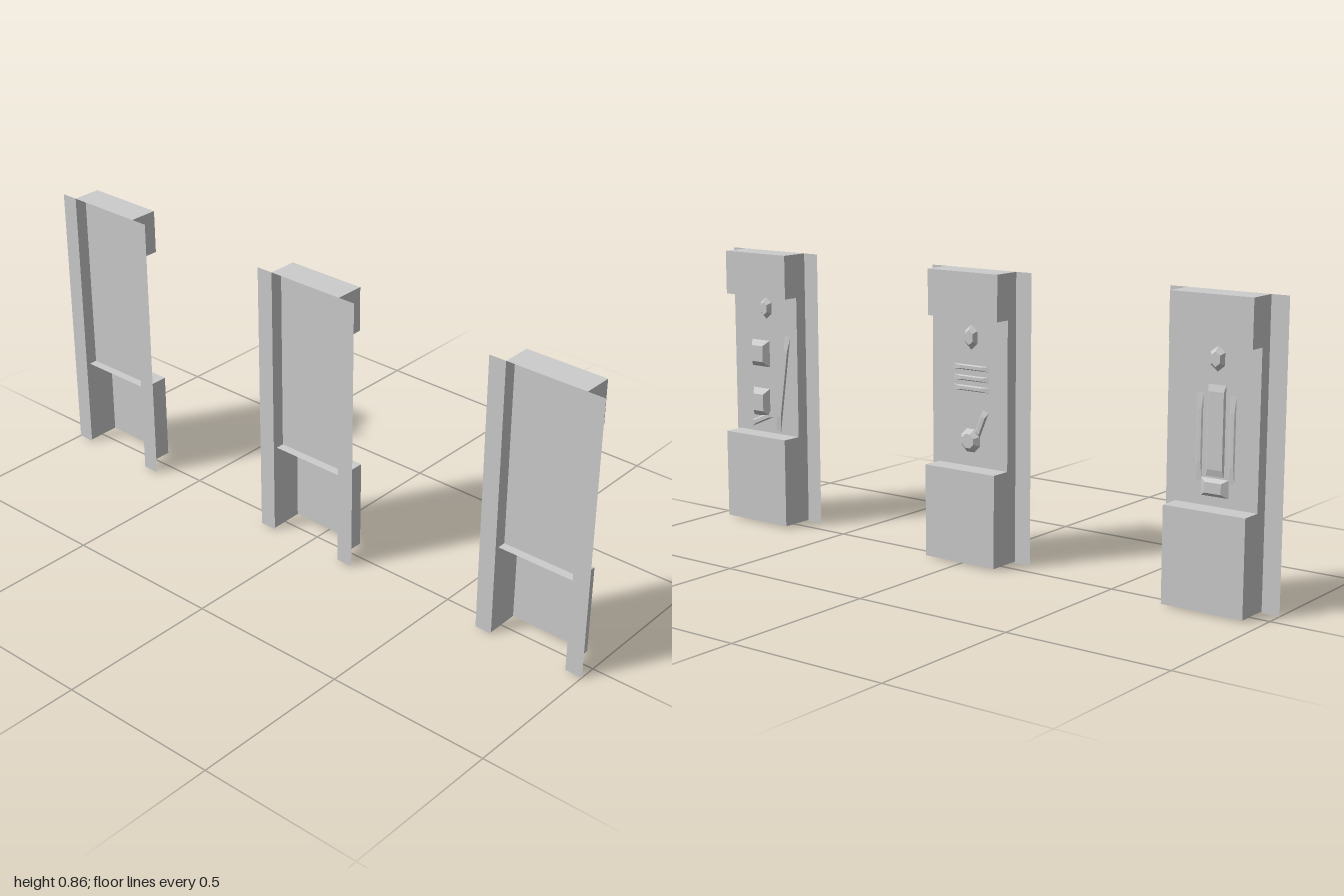
import * as THREE from 'three';

const stone = new THREE.MeshStandardMaterial({ color: 0xcccccc, side: THREE.DoubleSide, flatShading: true });
stone.name = 'pale grey';

const HALF = 0.126;      // half width of the raised body
const FLANGE = 0.18;     // half width including flanges
const BACK = -0.053, PANEL = -0.013, SILL = 0.052, LINTEL = 0.038;
const Y0 = 0.005, Y1 = 0.283, Y2 = 0.727, Y3 = 0.863;

function add(group, name, geometry) {
  const mesh = new THREE.Mesh(geometry, stone);
  mesh.name = name;
  group.add(mesh);
  return mesh;
}

// Flat sheet sweeping the line a-b (x, y) from z0 to z1
function sheet(group, name, [ax, ay], [bx, by], z0 = -HALF, z1 = HALF) {
  const g = new THREE.BufferGeometry();
  g.setAttribute('position', new THREE.Float32BufferAttribute(
    [ax, ay, z1, ax, ay, z0, bx, by, z0, bx, by, z1], 3));
  g.setIndex([0, 1, 2, 0, 2, 3]);
  g.computeVertexNormals();
  return add(group, name, g);
}

// Low tapered carving standing on the panel, facing +x
function carving(group, name, z, y, w, h, depth, { sides = 4, taper = 0.6, tilt = 0 } = {}) {
  const r = sides === 4 ? Math.SQRT1_2 : 0.5;
  const g = new THREE.CylinderGeometry(r * taper, r, 1, sides, 1);
  g.rotateY(Math.PI / sides);
  g.rotateZ(-Math.PI / 2);
  g.scale(depth, h, w);
  g.rotateX(tilt);
  g.translate(PANEL + depth / 2, y, z);
  return add(group, name, g);
}

const reliefs = [
  // Farthest back: upright shaft on a base
  (g) => {
    carving(g, 'topCarving', 0.005, 0.685, 0.05, 0.07, 0.013, { sides: 6 });
    carving(g, 'shaft', 0.005, 0.49, 0.055, 0.25, 0.005, { taper: 0.85 });
    for (const s of [-1, 1]) carving(g, 'sideStrip', 0.005 + s * 0.05, 0.47, 0.018, 0.24, 0.003);
    carving(g, 'baseCarving', 0.005, 0.335, 0.085, 0.05, 0.012);
  },
  // Middle: stacked bars over a rounded carving
  (g) => {
    carving(g, 'topCarving', 0.005, 0.667, 0.05, 0.075, 0.013, { sides: 6 });
    for (const y of [0.515, 0.545, 0.577]) carving(g, 'crossBar', 0.005, y, 0.13, 0.016, 0.005);
    carving(g, 'slantedStrip', -0.03, 0.41, 0.022, 0.09, 0.005, { tilt: -0.4 });
    carving(g, 'roundCarving', 0.008, 0.36, 0.075, 0.075, 0.015, { sides: 8 });
  },
  // Nearest: two blocks beside a long slanted staff
  (g) => {
    carving(g, 'topCarving', 0.003, 0.685, 0.05, 0.07, 0.013, { sides: 6 });
    carving(g, 'upperBlock', 0.03, 0.538, 0.075, 0.085, 0.018);
    carving(g, 'lowerBlock', 0.03, 0.38, 0.07, 0.09, 0.018);
    carving(g, 'lowerStrip', 0.03, 0.325, 0.1, 0.02, 0.005, { tilt: 0.4 });
    carving(g, 'staff', -0.063, 0.447, 0.022, 0.31, 0.005, { taper: 0.7, tilt: -0.15 });
  },
];

function niche(index) {
  const g = new THREE.Group();
  g.name = 'wallNiche';

  // Stepped side walls and back flanges
  const profile = new THREE.Shape([
    [BACK, Y0], [SILL, Y0], [SILL, Y1], [PANEL, Y1],
    [PANEL, Y2], [LINTEL, Y2], [LINTEL, Y3], [BACK, Y3],
  ].map(([x, y]) => new THREE.Vector2(x, y)));
  for (const s of [-1, 1]) {
    add(g, 'sideWall', new THREE.ShapeGeometry(profile)).position.z = s * HALF;
    sheet(g, 'flange', [BACK, 0], [BACK, Y3], Math.min(s * HALF, s * FLANGE), Math.max(s * HALF, s * FLANGE));
  }

  // Front, ledges and top; the back and bottom stay open
  sheet(g, 'plinthFront', [SILL, Y0], [SILL, Y1]);
  sheet(g, 'plinthLedge', [SILL, Y1], [-0.04, Y1]);
  sheet(g, 'panel', [PANEL, Y1], [PANEL, Y3]);
  sheet(g, 'lintelUnderside', [PANEL, Y2], [LINTEL, Y2]);
  sheet(g, 'lintelFront', [LINTEL, Y2], [LINTEL, Y3]);
  sheet(g, 'top', [LINTEL, Y3], [BACK, Y3]);

  reliefs[index](g);
  return g;
}

export function createModel() {
  const model = new THREE.Group();
  model.name = 'nicheRow';
  for (let i = 0; i < 3; i++) {
    const n = niche(i);
    n.position.z = (i - 1) * 0.82;
    model.add(n);
  }
  return model;
}
